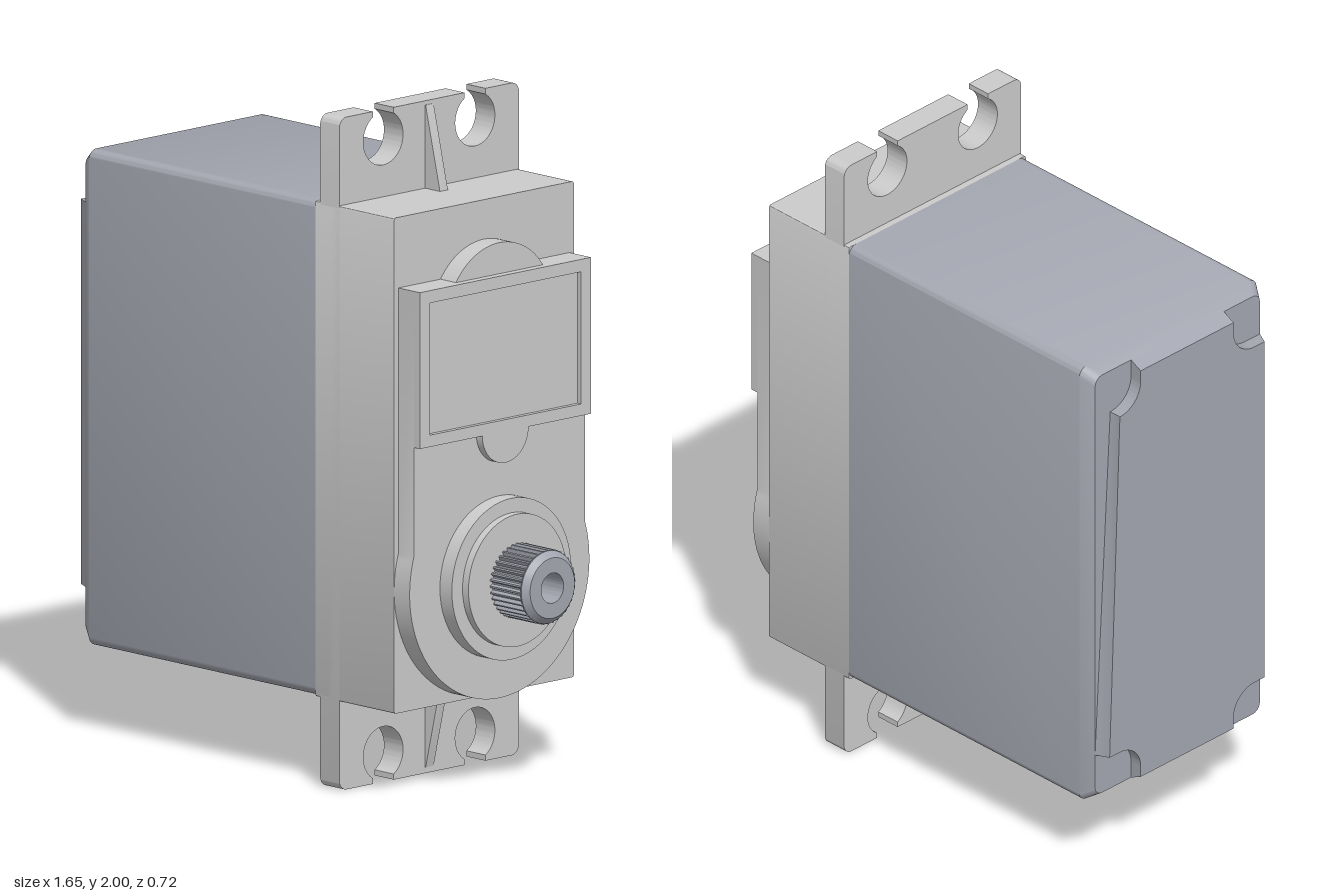
import * as THREE from 'three';
import { toCreasedNormals } from 'three/addons/utils/BufferGeometryUtils.js';

const PI = Math.PI;
const MID = 1.0025;      // height of the case centre
const SHAFT = 0.63;      // height of the output axis

export function createModel() {
  const group = new THREE.Group();
  group.name = 'servoMotor';
  const grey = new THREE.MeshStandardMaterial({ color: 0xcccccc });
  const slate = new THREE.MeshStandardMaterial({ color: 0xa4a7b1 });

  const add = (name, geometry, material = grey) => {
    const mesh = new THREE.Mesh(toCreasedNormals(geometry, 0.6), material);
    mesh.name = name;
    group.add(mesh);
    return mesh;
  };

  // Flat outline thickened along x, from x0 to x1
  const slab = (shape, x0, x1, y = 0) =>
    new THREE.ExtrudeGeometry(shape, { depth: x1 - x0, bevelEnabled: false, curveSegments: 32 })
      .translate(0, 0, x0).rotateY(PI / 2).translate(0, y, 0);

  // Skin over matching outlines, each given as [x, shape]
  const loft = (sections, y) => {
    const rings = sections.map(([x, s]) => s.getPoints(10).map(p => [p.x, p.y, x]));
    const n = rings[0].length, last = (rings.length - 1) * n, index = [];
    for (let r = 0; r < last; r += n) {
      for (let i = 0; i < n; i++) {
        const a = r + i, b = r + (i + 1) % n;
        index.push(a, b, b + n, a, b + n, a + n);
      }
    }
    const cap = THREE.ShapeUtils.triangulateShape(sections[0][1].getPoints(10), []);
    for (const [a, b, c] of cap) index.push(a, c, b, a + last, b + last, c + last);
    const g = new THREE.BufferGeometry();
    g.setAttribute('position', new THREE.Float32BufferAttribute(rings.flat(2), 3));
    g.setIndex(index);
    return g.rotateY(PI / 2).translate(0, y, 0);
  };

  const roundedRect = (w, h, r) => {
    const s = new THREE.Shape();
    [[1, 1], [-1, 1], [-1, -1], [1, -1]].forEach(([sx, sy], q) =>
      s.absarc(sx * (w - r), sy * (h - r), r, q * PI / 2, (q + 1) * PI / 2, false));
    return s;
  };

  // Rectangle with a round-cornered notch cut from each corner
  const notchedRect = (w, h) => {
    const s = new THREE.Shape(), cx = 0.275, cy = 0.6575, r = 0.085;
    [[1, 1], [-1, 1], [-1, -1], [1, -1]].forEach(([sx, sy], q) => {
      const side = [sx * w, sy * (cy - r)], end = [sx * (cx - r), sy * h];
      const [from, to] = q % 2 ? [end, side] : [side, end];
      if (q) s.lineTo(...from); else s.moveTo(...from);
      s.absarc(sx * cx, sy * cy, r, (q - 1) * PI / 2, (q - 2) * PI / 2, true);
      s.lineTo(...to);
    });
    return s;
  };

  // Motor case with chamfered rear, and rear plate with screw recesses
  const W = 0.362, H = 0.7375;
  add('motorCase', loft([
    [-0.785, roundedRect(W - 0.025, H - 0.025, 0.03)],
    [-0.745, roundedRect(W, H, 0.03)],
    [0.205, roundedRect(W, H, 0.03)],
  ], MID), slate);
  add('rearPlate', loft([
    [-0.825, notchedRect(W - 0.045, H - 0.045)],
    [-0.785, notchedRect(W - 0.025, H - 0.025)],
  ], MID), slate);

  // Gear case
  add('gearCase', slab(roundedRect(W, H, 0.008), 0.205, 0.535, MID));

  // Mounting flange with open screw slots at both ends
  const flange = new THREE.Shape();
  const half = 0.042, holeR = 0.08, gap = Math.asin(half / holeR);
  for (const [s, rot] of [[1, 0], [-1, PI]]) {
    flange.absarc(-s * 0.332, -s * 0.97, 0.03, PI + rot, 1.5 * PI + rot, false);
    for (const c of [-0.185, 0.185]) {
      flange.lineTo(s * (c - half), -s);
      flange.absarc(s * c, -s * 0.915, holeR, -PI / 2 - gap + rot, -PI / 2 + gap + rot, true);
      flange.lineTo(s * (c + half), -s);
    }
    flange.absarc(s * 0.332, -s * 0.97, 0.03, 1.5 * PI + rot, 2 * PI + rot, false);
  }
  add('mountingFlange', slab(flange, 0.225, 0.305, 1));

  // Triangular ribs bracing the flange
  for (const s of [1, -1]) {
    const rib = new THREE.Shape([[0.3, 0.73], [0.367, 0.73], [0.367, 0.7375], [0.307, 0.985], [0.3, 0.985]]
      .map(([x, y]) => new THREE.Vector2(x, s * y)));
    add(s > 0 ? 'upperRib' : 'lowerRib',
      new THREE.ExtrudeGeometry(rib, { depth: 0.032, bevelEnabled: false }).translate(0, MID, -0.016));
  }

  // Gear cover: round below, straight sides, shallow dome on top
  const cover = new THREE.Shape();
  const coverR = 0.362, turn = Math.acos(0.345 / coverR), dome = Math.atan2(0.119, 0.175);
  cover.absarc(0, SHAFT, coverR, PI - turn, 2 * PI + turn, false);
  cover.lineTo(0.345, 1.53);
  cover.absarc(0, 1.411, Math.hypot(0.119, 0.175), dome, PI - dome, false);
  cover.lineTo(-0.345, 1.53);
  add('gearCover', slab(cover, 0.535, 0.6));

  // Raised frame with a half-round tab and sunken panel
  const frame = new THREE.Shape();
  frame.absarc(0, 1.065, 0.093, PI, 2 * PI, false);
  for (const [u, v] of [[0.345, 1.065], [0.345, 1.53], [-0.345, 1.53], [-0.345, 1.065]]) frame.lineTo(u, v);
  frame.holes.push(new THREE.Path([[-0.305, 1.1], [-0.305, 1.493], [0.305, 1.493], [0.305, 1.1]]
    .map(p => new THREE.Vector2(...p))));
  add('labelFrame', slab(frame, 0.6, 0.625));
  add('labelPanel', new THREE.BoxGeometry(0.02, 0.393, 0.61).translate(0.6, 1.2965, 0));

  // Turned parts around the output axis, profile as [radius, x]
  const turned = (profile) =>
    new THREE.LatheGeometry(profile.map(p => new THREE.Vector2(...p)), 64)
      .rotateZ(-PI / 2).translate(0, SHAFT, 0);
  add('shaftCollar', turned([[0.24, 0.595], [0.24, 0.65], [0.197, 0.65], [0.197, 0.675], [0, 0.675]]));

  // Splined output shaft
  const TEETH = 36, spline = new THREE.Shape();
  for (let i = 0; i < TEETH * 4; i++) {
    const r = i % 4 < 2 ? 0.111 : 0.1, a = i / (TEETH * 4) * 2 * PI;
    if (i) spline.lineTo(r * Math.cos(a), r * Math.sin(a));
    else spline.moveTo(r, 0);
  }
  spline.holes.push(new THREE.Path().absarc(0, 0, 0.046, 0, 2 * PI, true));
  const teeth = slab(spline, 0.67, 0.803, SHAFT);
  const splines = add('shaftSplines', teeth, slate);
  splines.geometry = toCreasedNormals(teeth, 0.2);
  add('shaftTip', turned([[0.108, 0.8], [0.108, 0.804], [0.09, 0.822], [0.045, 0.822], [0.045, 0.72], [0, 0.72]]), slate);

  return group;
}
